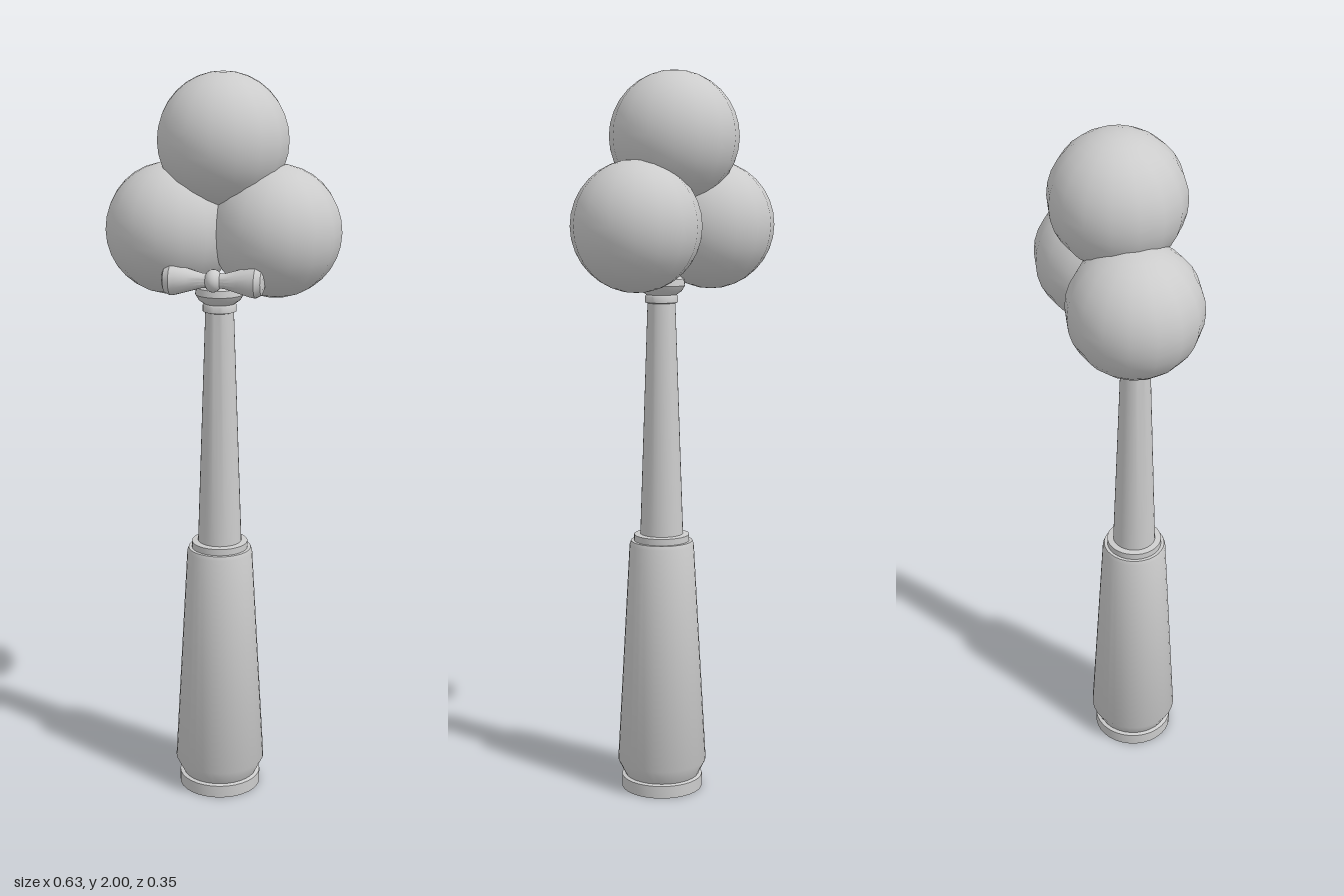
import * as THREE from 'three';
import { toCreasedNormals } from 'three/addons/utils/BufferGeometryUtils.js';

const material = new THREE.MeshStandardMaterial({ color: 0xcccccc, side: THREE.DoubleSide });

function addMesh(group, name, geometry, x, y, z) {
  const mesh = new THREE.Mesh(geometry, material);
  mesh.name = name;
  mesh.position.set(x, y, z);
  group.add(mesh);
  return mesh;
}

// Turned part from [radius, height] pairs, with sharp steps kept crisp
function turned(profile, sides) {
  const points = profile.map(([r, y]) => new THREE.Vector2(r, y));
  return toCreasedNormals(new THREE.LatheGeometry(points, sides), 0.6);
}

export function createModel() {
  const group = new THREE.Group();
  const axisZ = 0.05;

  // Three overlapping balls
  const ball = new THREE.SphereGeometry(0.175, 16, 16);
  addMesh(group, 'topBall', ball, 0, 1.825, 0);
  addMesh(group, 'leftBall', ball, 0.142, 1.59, 0);
  addMesh(group, 'rightBall', ball, -0.142, 1.59, 0);

  // Wide grip, open underneath, with a foot ring and a shoulder ring
  addMesh(group, 'grip', turned([
    [0.114, 0], [0.114, 0.035], [0.104, 0.038], [0.125, 0.08],
    [0.09, 0.705], [0.086, 0.716], [0.077, 0.716], [0.077, 0.734], [0.06, 0.736],
  ], 32), 0, 0, axisZ);

  // Slim tapering stem
  addMesh(group, 'stem', turned([[0.06, 0.734], [0.038, 1.385]], 32), 0, 0, axisZ);

  // Neck ring and flared cup below the balls
  addMesh(group, 'collar', turned([
    [0.036, 1.378], [0.045, 1.381], [0.045, 1.397], [0.042, 1.402],
    [0.056, 1.412], [0.065, 1.427], [0.062, 1.445], [0.04, 1.46], [0, 1.465],
  ], 32), 0, 0, axisZ);

  // Bow tie: two flared wings and a round knot
  const bow = new THREE.Group();
  bow.name = 'bowTie';
  bow.position.set(0, 1.477, 0.135);
  group.add(bow);
  const wing = turned([
    [0.019, 0], [0.02, 0.03], [0.03, 0.065], [0.04, 0.1],
    [0.042, 0.112], [0.034, 0.128], [0.022, 0.133], [0, 0.134],
  ], 16);
  for (const [name, side] of [['leftWing', 1], ['rightWing', -1]]) {
    addMesh(bow, name, wing, 0, 0, 0).rotation.z = -side * Math.PI / 2;
  }
  const knot = addMesh(bow, 'knot', new THREE.SphereGeometry(0.03, 16, 12), 0, 0, 0);
  knot.scale.set(0.8, 1, 1.1);

  return group;
}
